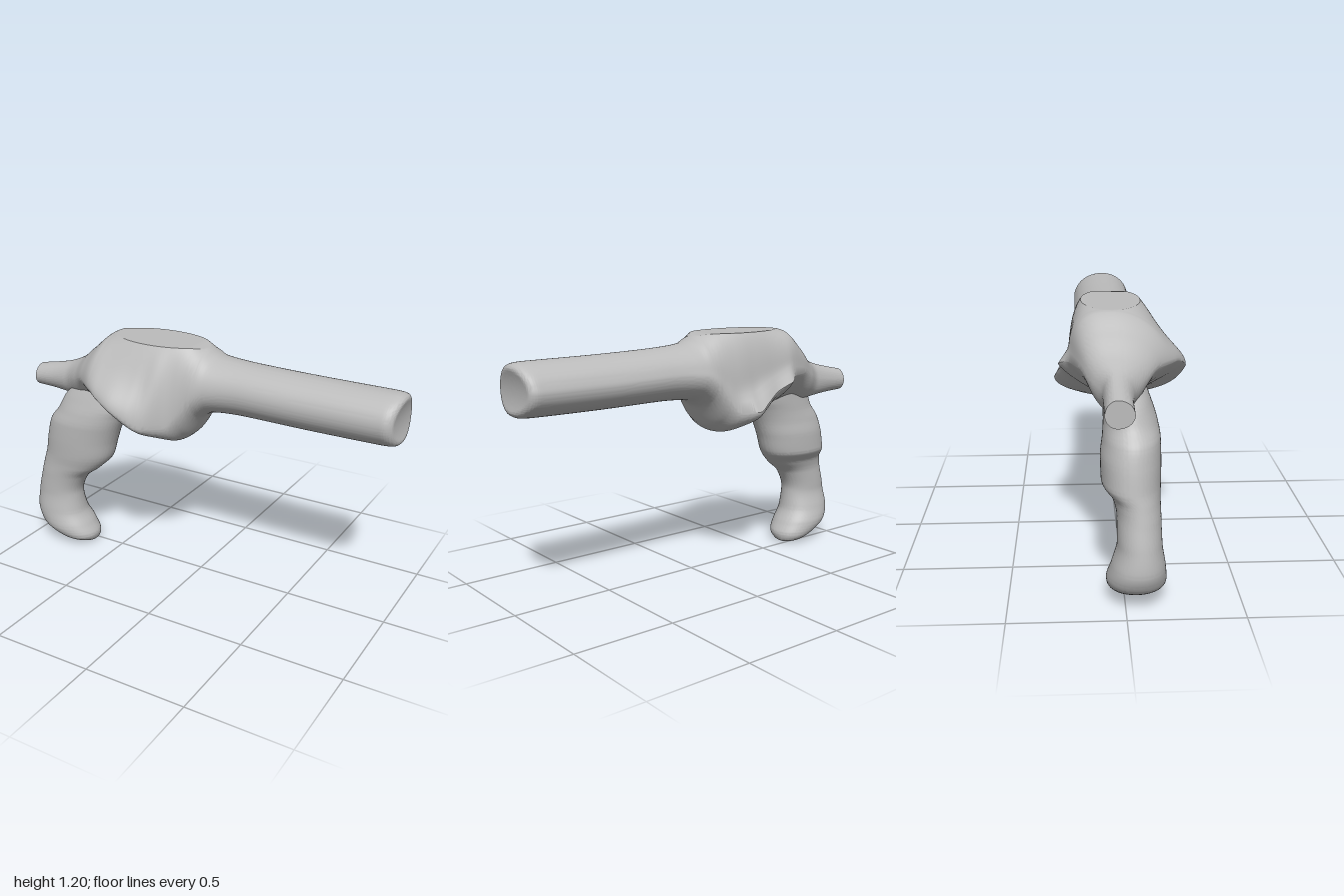
import * as THREE from 'three';
import { toCreasedNormals } from 'three/addons/utils/BufferGeometryUtils.js';

const { smoothstep } = THREE.MathUtils;

// Smooth interpolation of section rows without overshoot
function sampleRows(rows, u) {
  const i = Math.min(Math.floor(u), rows.length - 2), t = u - i;
  const at = (n) => rows[Math.max(0, Math.min(rows.length - 1, n))];
  return rows[0].map((_, k) => {
    const p = at(i)[k], q = at(i + 1)[k];
    const before = p - at(i - 1)[k], step = q - p, after = at(i + 2)[k] - q;
    const tangent = (a, b) => (a * b > 0 ? (2 * a * b) / (a + b) : 0);
    const m0 = i === 0 ? step : tangent(before, step);
    const m1 = i === rows.length - 2 ? step : tangent(step, after);
    const t2 = t * t, t3 = t2 * t;
    return (2 * t3 - 3 * t2 + 1) * p + (t3 - 2 * t2 + t) * m0 + (3 * t2 - 2 * t3) * q + (t3 - t2) * m1;
  });
}

// Closed skin through rows; ring(row, angle) gives one point of a cross-section
function loft(rows, ring, perRow = 10, sides = 120) {
  const count = (rows.length - 1) * perRow, pos = [], index = [];
  for (let i = 0; i <= count; i++) {
    const row = sampleRows(rows, i / perRow);
    for (let j = 0; j < sides; j++) pos.push(...ring(row, (j / sides) * Math.PI * 2));
  }
  for (let i = 0; i < count; i++) for (let j = 0; j < sides; j++) {
    const k = (j + 1) % sides, a = i * sides + j, b = a + sides, c = (i + 1) * sides + k, d = i * sides + k;
    index.push(a, b, c, a, c, d);
  }
  // End caps
  for (const end of [0, count]) {
    const mid = [0, 0, 0], centre = pos.length / 3;
    for (let j = 0; j < sides; j++) for (let k = 0; k < 3; k++) mid[k] += pos[(end * sides + j) * 3 + k] / sides;
    pos.push(...mid);
    for (let j = 0; j < sides; j++) {
      const a = end * sides + j, b = end * sides + ((j + 1) % sides);
      if (end === 0) index.push(centre, a, b); else index.push(centre, b, a);
    }
  }
  const geometry = new THREE.BufferGeometry();
  geometry.setAttribute('position', new THREE.Float32BufferAttribute(pos, 3));
  geometry.setIndex(index);
  return toCreasedNormals(geometry, 0.5);
}

const power = (v, n) => Math.sign(v) * Math.pow(Math.abs(v), 2 / n);

// Tail, guard and barrel: x, top, bottom, z front, z back, height of widest line, bulge
const BODY = [
  [-1.0, 0.95, 0.835, 0.03, -0.09, 0.89, 0],
  [-0.9, 0.97, 0.83, 0.03, -0.09, 0.9, 0],
  [-0.8, 0.995, 0.82, 0.04, -0.092, 0.91, 0],
  [-0.7, 1.04, 0.81, 0.09, -0.14, 0.94, 0.3],
  [-0.6, 1.12, 0.83, 0.16, -0.185, 0.98, 0.8],
  [-0.49, 1.2, 0.81, 0.245, -0.23, 0.975, 1],
  [-0.42, 1.2, 0.795, 0.28, -0.275, 0.95, 1],
  [-0.34, 1.2, 0.795, 0.3, -0.265, 0.915, 1],
  [-0.26, 1.2, 0.77, 0.288, -0.285, 0.87, 1],
  [-0.19, 1.2, 0.74, 0.25, -0.298, 0.83, 1],
  [-0.11, 1.2, 0.71, 0.18, -0.26, 0.83, 0.8],
  [-0.05, 1.2, 0.745, 0.15, -0.235, 0.9, 0.5],
  [0.02, 1.19, 0.855, 0.131, -0.224, 0.985, 0.1],
  [0.08, 1.16, 0.885, 0.117, -0.215, 1.01, 0],
  [0.25, 1.145, 0.895, 0.103, -0.2, 1.02, 0],
  [0.6, 1.137, 0.892, 0.103, -0.199, 1.015, 0],
  [0.93, 1.135, 0.895, 0.105, -0.198, 1.015, 0],
  [0.975, 1.13, 0.9, 0.098, -0.192, 1.015, 0],
  [1.0, 1.1, 0.93, 0.07, -0.165, 1.015, 0],
  [1.0, 1.03, 1.0, -0.03, -0.06, 1.015, 0],
];

function bodyRing([x, top, bottom, front, back, wide, bulge], angle) {
  const mid = -0.037, side = Math.sign(Math.cos(angle)) || 1, upper = Math.sin(angle) > 0;
  const reach = side > 0 ? front - mid : mid - back;
  // A rounded core carries a thin flared rim along the widest line
  const over = reach - (side > 0 ? 0.255 : 0.195);
  const rim = upper ? (over + Math.hypot(over, 0.025)) / 2 : 0, core = reach - rim;
  // The front shoulder slopes, the back is fuller, and the rear underside is hollowed
  const hollow = 0.75 * bulge * (1 - smoothstep(x, -0.42, -0.22));
  const n = upper ? (side > 0 ? 2 - 0.15 * bulge : 2 + bulge) : 2 - hollow;
  // Flat oval on top: the ring rises beyond it and is cut level
  const oval = 0.135 * Math.sqrt(Math.max(0, 1 - ((x + 0.235) / 0.255) ** 2));
  const share = Math.min(0.95, oval / core);
  const peak = wide + (top - wide) / Math.pow(1 - Math.pow(share, n), 1 / n);
  // Place one grid line along the rim of the oval
  let t = Math.abs(Math.asin(Math.sin(angle)));
  if (upper) {
    const edge = Math.min(0.47 * Math.PI, Math.acos(Math.pow(share, n / 2))), third = Math.PI / 3;
    t = t < third ? (t / third) * edge : edge + ((t - third) / (third / 2)) * (Math.PI / 2 - edge);
  }
  const lift = power(Math.sin(t), n);
  const y = Math.min(upper ? wide + lift * (peak - wide) : wide - lift * (wide - bottom), Math.max(top, 1.19));
  const flare = rim * Math.exp(-(side > 0 ? 8 : 35) * lift * lift);
  // Muzzle face dished across its middle
  const dish = 0.018 * Math.max(0, 1 - ((y - 1.015) / 0.1) ** 2) * smoothstep(x, 0.92, 1);
  return [x - dish, y, mid + side * (power(Math.max(0, Math.cos(t)), n) * core + flare)];
}

// Grip: y, x rear, x fore, z front, z back
const GRIP = [
  [0.003, -0.71, -0.67, 0.05, 0.01],
  [0.015, -0.78, -0.648, 0.1, -0.035],
  [0.05, -0.87, -0.638, 0.155, -0.068],
  [0.11, -0.96, -0.668, 0.178, -0.08],
  [0.19, -0.988, -0.71, 0.17, -0.06],
  [0.29, -0.975, -0.72, 0.155, -0.035],
  [0.39, -0.952, -0.68, 0.152, -0.035],
  [0.46, -0.937, -0.595, 0.152, -0.05],
  [0.53, -0.925, -0.53, 0.156, -0.098],
  [0.62, -0.908, -0.5, 0.158, -0.1],
  [0.7, -0.883, -0.468, 0.157, -0.09],
  [0.77, -0.83, -0.43, 0.145, -0.085],
  [0.84, -0.795, -0.38, 0.122, -0.085],
  [0.92, -0.71, -0.4, 0.09, -0.085],
  [1.0, -0.62, -0.45, 0.05, -0.07],
];

function gripRing([y, rear, fore, front, back], angle) {
  return [
    (rear + fore) / 2 + power(Math.cos(angle), 2.1) * (fore - rear) / 2,
    y,
    (front + back) / 2 + power(Math.sin(angle), 2.1) * (front - back) / 2,
  ];
}

export function createModel() {
  const group = new THREE.Group();
  const grey = new THREE.MeshStandardMaterial({ color: 0xbcbcbc });
  grey.name = 'plain grey';
  const add = (name, geometry) => {
    const mesh = new THREE.Mesh(geometry, grey);
    mesh.name = name;
    group.add(mesh);
  };
  add('bodyAndBarrel', loft(BODY, bodyRing));
  add('grip', loft(GRIP, gripRing));
  return group;
}
